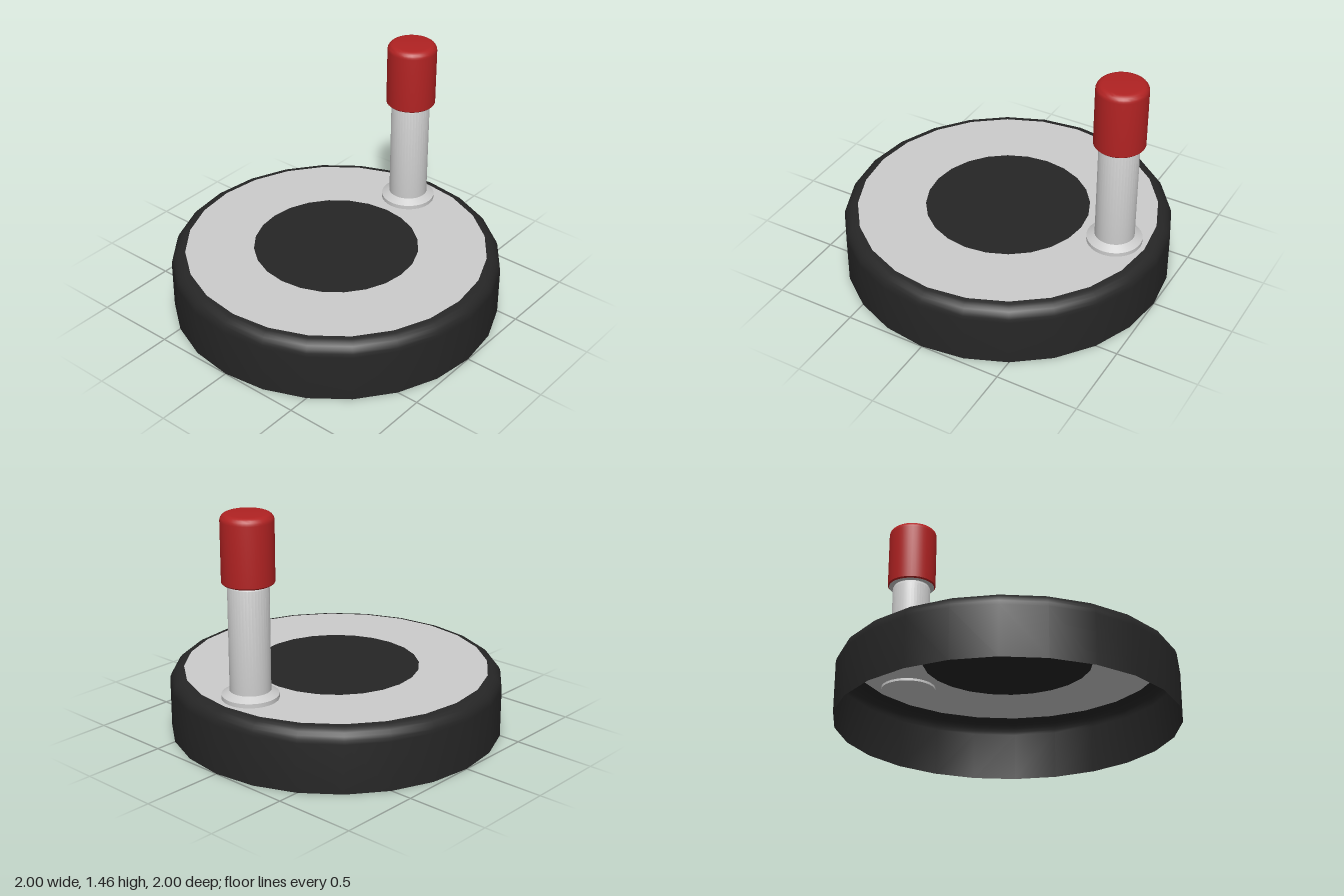
import * as THREE from 'three';
import { toCreasedNormals } from 'three/addons/utils/BufferGeometryUtils.js';

const material = (color, side = THREE.FrontSide) => new THREE.MeshStandardMaterial({ color, side });
const dark = material(0x262626, THREE.DoubleSide);
const plate = material(0xcccccc, THREE.DoubleSide);
const grey = material(0xcccccc, THREE.DoubleSide);
const red = material(0xb02222, THREE.DoubleSide);

function part(parent, name, geometry, mat) {
  const mesh = new THREE.Mesh(geometry, mat);
  mesh.name = name;
  parent.add(mesh);
  return mesh;
}

// Turned part from [radius, height] pairs, listed bottom to top
function turned(points, segments) {
  const profile = points.map(([r, y]) => new THREE.Vector2(r, y));
  return toCreasedNormals(new THREE.LatheGeometry(profile, segments), 0.6);
}

// Quarter-round shoulder ending at height top and radius (outer - round)
function shoulder(outer, top, round, steps) {
  return Array.from({ length: steps + 1 }, (_, i) => {
    const a = (i / steps) * Math.PI / 2;
    return [outer - round + round * Math.cos(a), top - round + round * Math.sin(a)];
  });
}

export function createModel() {
  const model = new THREE.Group();
  const sides = 24, top = 0.38;

  // Hollow base shell, open underneath
  part(model, 'baseRim', turned([[1, 0], ...shoulder(1, top, 0.085, 6)], sides), dark);

  // Thin top plate with a dark centre
  const ring = part(model, 'topPlate', new THREE.RingGeometry(0.5, 0.915, sides), plate);
  const centre = part(model, 'centreDisc', new THREE.CircleGeometry(0.5, sides), dark);
  for (const disc of [ring, centre]) {
    disc.rotation.x = -Math.PI / 2;
    disc.position.y = top;
  }

  // Upright handle near the edge
  const handle = new THREE.Group();
  handle.name = 'handle';
  handle.position.x = 0.72;
  model.add(handle);

  part(handle, 'flange', turned([[0, 0.365], [0.165, 0.365], [0.165, 0.405], [0.12, 0.432]], 40), grey);
  part(handle, 'post', turned([[0.118, 0.42], [0.118, 1.045], [0.11, 1.057], [0.11, 1.07]], 40), grey);
  part(handle, 'collar', turned([[0.1, 1.062], [0.142, 1.062]], 40), grey);
  part(handle, 'grip',
    turned([[0.142, 1.062], [0.15, 1.07], ...shoulder(0.15, 1.46, 0.04, 6), [0, 1.46]], 40), red);

  return model;
}
